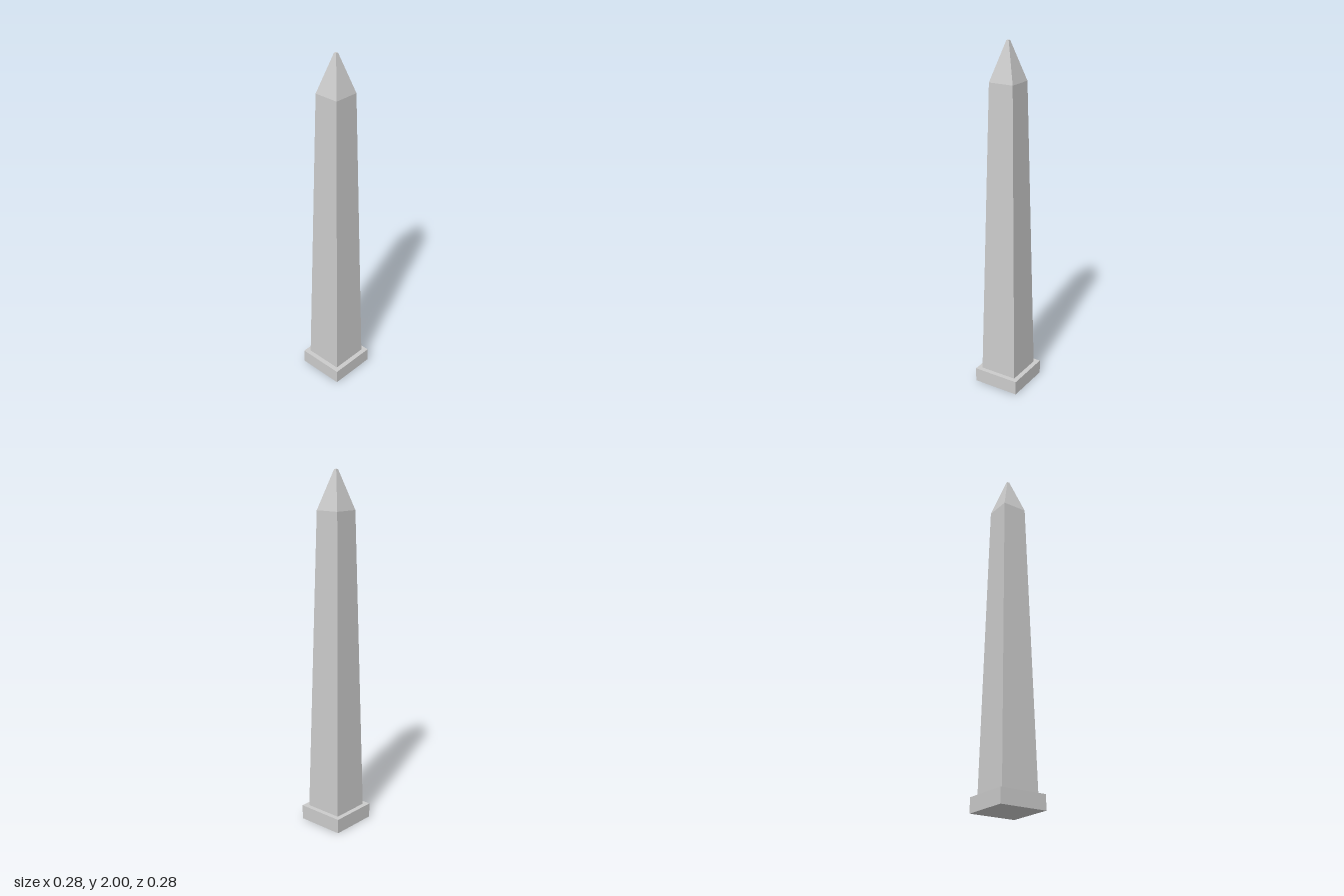
import * as THREE from 'three';

const material = new THREE.MeshStandardMaterial({ color: 0xcccccc, flatShading: true });

// Square tapered block: half-widths at bottom and top, between heights y0 and y1
function taperedBlock(name, bottom, top, y0, y1) {
  const geometry = new THREE.CylinderGeometry(top * Math.SQRT2, bottom * Math.SQRT2, y1 - y0, 4);
  geometry.rotateY(Math.PI / 4);
  geometry.translate(0, (y0 + y1) / 2, 0);
  const mesh = new THREE.Mesh(geometry, material);
  mesh.name = name;
  return mesh;
}

export function createModel() {
  const obelisk = new THREE.Group();
  obelisk.name = 'obelisk';

  // Square base slab
  const plinth = new THREE.Mesh(new THREE.BoxGeometry(0.277, 0.083, 0.277), material);
  plinth.name = 'plinth';
  plinth.position.y = 0.0415;

  // Tapering shaft and its pointed cap with a tiny flat tip
  obelisk.add(
    plinth,
    taperedBlock('shaft', 0.111, 0.0725, 0.083, 1.787),
    taperedBlock('pyramidCap', 0.0725, 0.007, 1.787, 2),
  );
  return obelisk;
}
